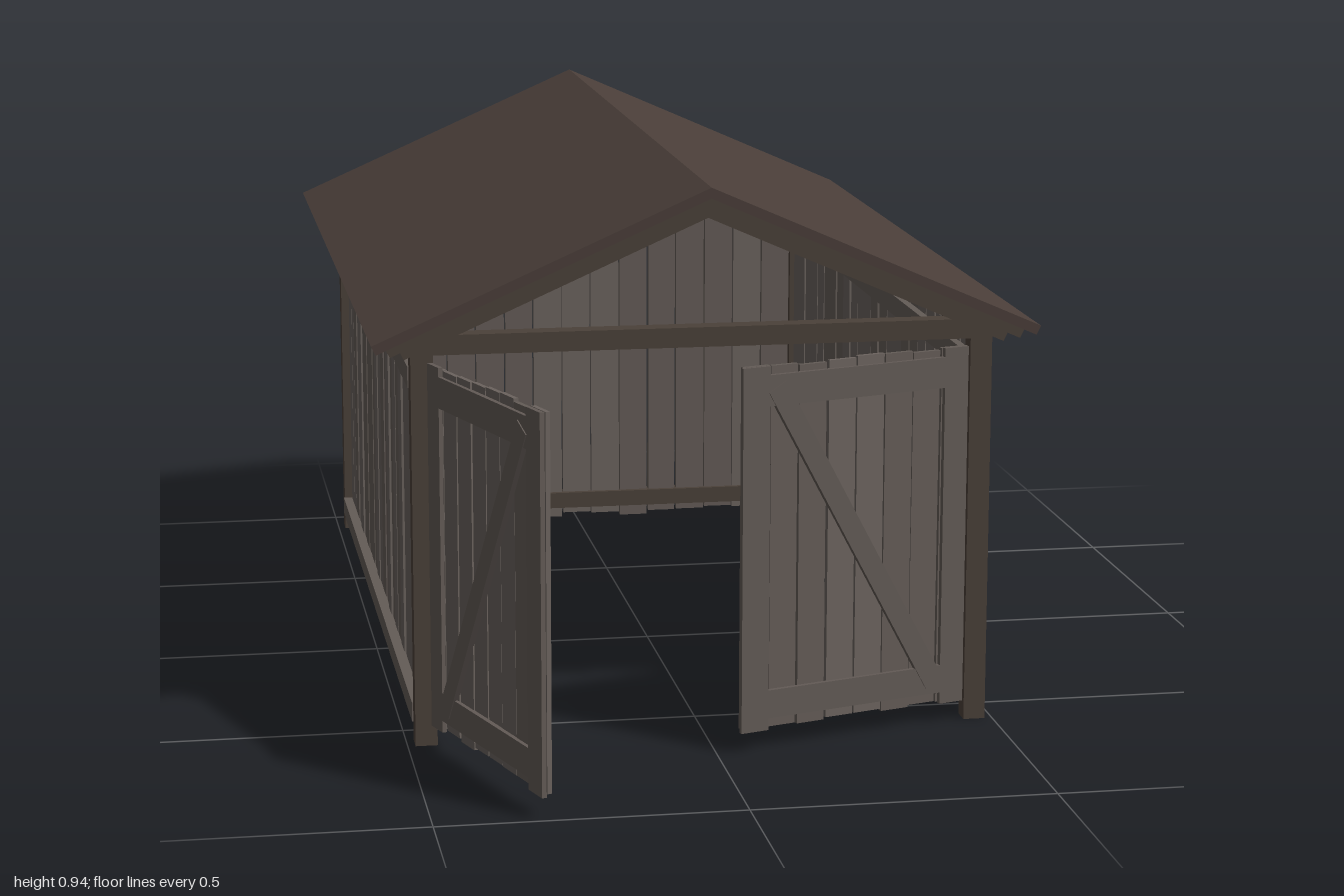
import * as THREE from 'three';

const mat = (name, color) => {
  const m = new THREE.MeshStandardMaterial({ color });
  m.name = name;
  return m;
};

export function createModel() {
  const shed = new THREE.Group();
  shed.name = 'shed';
  const plankLight = mat('weathered plank', 0x6b635e);
  const plankDark = mat('dull plank', 0x645c57);
  const doorWood = mat('door wood', 0x625a55);
  const frameWood = mat('dark frame wood', 0x4b4139);
  const roofWood = mat('roof brown', 0x4a3e39);

  // Small seeded generator for uneven boards
  let seed = 7;
  const rnd = () => (seed = (seed * 16807) % 2147483647) / 2147483647;
  const jit = (a) => (rnd() - 0.5) * 2 * a;

  const box = (parent, name, m, x0, x1, y0, y1, z0, z1) => {
    const mesh = new THREE.Mesh(new THREE.BoxGeometry(x1 - x0, y1 - y0, z1 - z0), m);
    mesh.position.set((x0 + x1) / 2, (y0 + y1) / 2, (z0 + z1) / 2);
    mesh.name = name;
    parent.add(mesh);
    return mesh;
  };
  const group = (name, parent = shed) => {
    const g = new THREE.Group();
    g.name = name;
    parent.add(g);
    return g;
  };

  // Row of uneven upright boards along local x, facing local z
  const planks = (parent, x0, x1, count, y0, y1, depth, uneven) => {
    const step = (x1 - x0) / count;
    for (let i = 0; i < count; i++) {
      const w = step * (0.94 + jit(0.035)), c = x0 + step * (i + 0.5);
      const b = box(parent, 'plank', rnd() > 0.4 ? plankLight : plankDark,
        c - w / 2, c + w / 2, y0 + jit(uneven), y1 + jit(uneven), -depth / 2, depth / 2);
      b.position.z += jit(0.002);
      b.rotation.z = jit(0.003);
    }
  };

  // Corner posts
  const frame = group('frame');
  for (const s of [-1, 1]) {
    const [a, b] = s > 0 ? [0.45, 0.487] : [-0.487, -0.45];
    box(frame, 'frontPost', frameWood, a, b, 0.005, 0.69, 0.555, 0.59);
    box(frame, 'backPost', frameWood, a, b, 0.005, 0.69, -0.94, -0.905);
    box(frame, 'sidePlate', frameWood, a, b, 0.668, 0.698, -0.905, 0.555);
  }
  // Gable ties and back sill
  box(frame, 'frontBeam', frameWood, -0.487, 0.487, 0.667, 0.7, 0.555, 0.59);
  box(frame, 'backBeam', frameWood, -0.487, 0.487, 0.667, 0.7, -0.94, -0.905);
  box(frame, 'backSill', frameWood, -0.45, 0.45, 0.03, 0.062, -0.94, -0.905);

  // Side walls with rails on both faces
  for (const s of [-1, 1]) {
    const wall = group(s > 0 ? 'leftWall' : 'rightWall');
    wall.rotation.y = s * Math.PI / 2;
    wall.position.set(s * 0.464, 0, -0.175);
    planks(wall, -0.73, 0.73, 24, 0.015, 0.664, 0.014, 0.01);
    for (const [y0, y1] of [[0.037, 0.07], [0.607, 0.643]]) {
      box(wall, 'outerRail', plankDark, -0.73, 0.73, y0, y1, 0.007, 0.025);
      box(wall, 'innerRail', plankDark, -0.73, 0.73, y0, y1, -0.02, -0.007);
    }
  }

  // Back wall
  const back = group('backWall');
  back.position.z = -0.9225;
  planks(back, -0.45, 0.45, 15, 0.014, 0.66, 0.014, 0.007);

  // Doors swung open, hinge at local origin, boards run toward s
  const door = (name, s, x, angle) => {
    const g = group(name);
    g.position.set(x, 0, 0.582);
    g.rotation.y = angle;
    const bar = (n, u0, u1, y0, y1, z0, z1) =>
      box(g, n, doorWood, Math.min(s * u0, s * u1), Math.max(s * u0, s * u1), y0, y1, z0, z1);
    const leaf = group('doorBoards', g);
    planks(leaf, s > 0 ? 0 : -0.43, s > 0 ? 0.43 : 0, 8, 0.043, 0.653, 0.008, 0.003);
    bar('hingeStile', 0.005, 0.05, 0.04, 0.655, 0.004, 0.012);
    bar('freeStile', 0.38, 0.43, 0.04, 0.655, 0.004, 0.012);
    bar('topRail', 0.05, 0.38, 0.588, 0.64, 0.004, 0.012);
    bar('bottomRail', 0.05, 0.38, 0.06, 0.108, 0.004, 0.012);
    // Diagonal brace on both faces
    const dx = 0.305, dy = 0.54;
    for (const z of [0.009, -0.007]) {
      const len = Math.hypot(dx, dy);
      const b = box(g, 'brace', doorWood, -0.018, 0.018, -len / 2, len / 2, -0.005, 0.005);
      b.position.set(s * 0.215, 0.35, z);
      b.rotation.z = -s * Math.atan2(dx, dy);
    }
  };
  door('leftDoor', -1, 0.447, 0.3);
  door('rightDoor', 1, -0.45, -1.257);

  // Roof of three stepped layers
  const roof = group('roof');
  const slope = 0.44, t = 0.018;
  const layer = (name, m, half, top, z0, z1) => {
    const e = top - slope * half, k = 0.41 * t, d = t * 0.84;
    const shape = new THREE.Shape();
    shape.moveTo(0, top);
    shape.lineTo(-half, e);
    shape.lineTo(-half + k, e - d);
    shape.lineTo(0, top - t);
    shape.lineTo(half - k, e - d);
    shape.lineTo(half, e);
    shape.closePath();
    const geo = new THREE.ExtrudeGeometry(shape, { depth: z1 - z0, bevelEnabled: false });
    geo.translate(0, 0, z0);
    const mesh = new THREE.Mesh(geo, m);
    mesh.name = name;
    roof.add(mesh);
  };
  layer('roofCover', roofWood, 0.555, 0.94, -1.0, 0.645);
  layer('roofBoards', frameWood, 0.531, 0.922, -0.985, 0.63);
  layer('roofRafters', frameWood, 0.507, 0.904, -0.97, 0.615);

  return shed;
}
